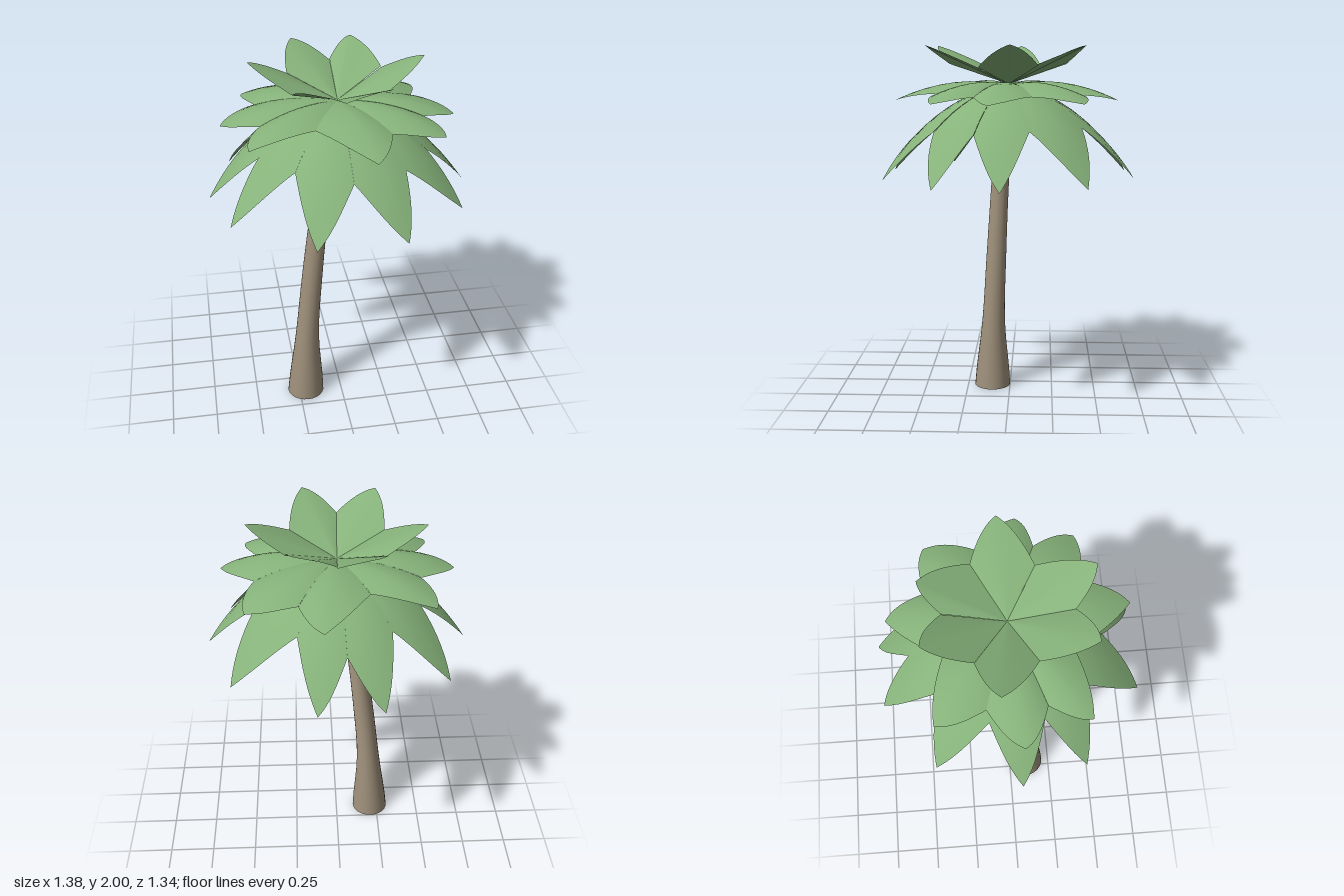
import * as THREE from 'three';

const leafGreen = new THREE.MeshStandardMaterial({ color: 0x86b27a, side: THREE.DoubleSide });
leafGreen.name = 'leafGreen';
const barkBrown = new THREE.MeshStandardMaterial({ color: 0xa4957f, side: THREE.DoubleSide });
barkBrown.name = 'barkBrown';

// One pointed leaf, fanned out from the crown centre between two notches
function leafGeometry(before, tip, after, { reach, height, fold, bulge }) {
  const rows = 8, cols = 16, positions = [], index = [];
  const tipRadius = Math.hypot(tip[0], tip[1]);
  for (let i = 0; i <= rows; i++) {
    for (let j = 0; j <= cols; j++) {
      const u = i / rows, s = (j / cols) * 2 - 1, side = Math.abs(s);
      const notch = s < 0 ? before : after;
      const k = u * (1 + bulge * Math.sin(Math.PI * side));
      const x = k * THREE.MathUtils.lerp(tip[0], notch[0], side);
      const z = k * THREE.MathUtils.lerp(tip[1], notch[1], side);
      const r = Math.hypot(x, z) * reach / tipRadius;
      positions.push(x, height(r) - fold * u * side * side, z);
      if (i < rows && j < cols) {
        const a = i * (cols + 1) + j, b = a + cols + 1;
        index.push(a, a + 1, b, a + 1, b + 1, b);
      }
    }
  }
  const g = new THREE.BufferGeometry();
  g.setAttribute('position', new THREE.Float32BufferAttribute(positions, 3));
  g.setIndex(index);
  g.computeVertexNormals();
  return g;
}

// A ring of leaves; outline alternates tip, notch as [x, z]
function leafRing(name, outline, shape) {
  const ring = new THREE.Group();
  ring.name = name;
  const n = outline.length;
  for (let i = 0; i < n; i += 2) {
    const g = leafGeometry(outline[(i + n - 1) % n], outline[i], outline[i + 1], shape);
    const leaf = new THREE.Mesh(g, leafGreen);
    leaf.name = name + 'Leaf' + (i / 2 + 1);
    ring.add(leaf);
  }
  return ring;
}

// Leaning trunk with a flared, open foot
function makeTrunk() {
  const centre = new THREE.CatmullRomCurve3([
    [-0.21, 0, 0.105], [-0.193, 0.4, 0.097], [-0.155, 0.8, 0.078], [-0.105, 1.2, 0.055],
    [-0.045, 1.55, 0.03], [0, 1.78, 0.01],
  ].map(p => new THREE.Vector3(...p)));
  const radius = new THREE.SplineCurve(
    [0.105, 0.067, 0.057, 0.05, 0.047, 0.045].map((r, i) => new THREE.Vector2(i, r)));
  const g = new THREE.CylinderGeometry(1, 1, 1, 24, 20, true);
  const pos = g.attributes.position;
  for (let i = 0; i < pos.count; i++) {
    const t = THREE.MathUtils.clamp(pos.getY(i) + 0.5, 0, 1);
    const c = centre.getPoint(t), r = radius.getPoint(t).y;
    pos.setXYZ(i, c.x + pos.getX(i) * r, c.y, c.z + pos.getZ(i) * r);
  }
  const trunk = new THREE.Mesh(g, barkBrown);
  trunk.name = 'trunk';
  return trunk;
}

export function createModel() {
  const palm = new THREE.Group();
  palm.name = 'palmTree';
  palm.add(makeTrunk());

  // Drooping lower dome
  palm.add(leafRing('lowerCrown', [
    [0.69, 0.02], [0.44, 0.16], [0.595, 0.36], [0.28, 0.38], [0.24, 0.66],
    [0, 0.48], [-0.21, 0.665], [-0.27, 0.36], [-0.6, 0.36], [-0.43, 0.15],
    [-0.69, 0.03], [-0.43, -0.12], [-0.56, -0.4], [-0.26, -0.36], [-0.21, -0.655],
    [-0.03, -0.5], [0.12, -0.675], [0.21, -0.39], [0.55, -0.41], [0.43, -0.12],
  ], { reach: 0.68, height: r => 1.78 - 1.04 * r * r, fold: 0.005, bulge: 0.05 }));

  // Flat arching middle ring
  palm.add(leafRing('middleCrown', [
    [0.6, 0.08], [0.42, 0.16], [0.48, 0.37], [0.21, 0.37], [0.09, 0.61], [-0.16, 0.31],
    [-0.49, 0.37], [-0.42, 0.16], [-0.61, 0.04], [-0.42, -0.13], [-0.47, -0.38],
    [-0.15, -0.32], [0.08, -0.59], [0.2, -0.39], [0.46, -0.39], [0.42, -0.13],
  ], { reach: 0.61, height: r => 1.79 + 0.217 * r - 0.57 * r * r, fold: 0.03, bulge: 0.06 }));

  // Upright top cup
  palm.add(leafRing('topCrown', [
    [0.455, -0.02], [0.24, 0.15], [0.17, 0.43], [-0.01, 0.32], [-0.22, 0.405], [-0.25, 0.13],
    [-0.45, -0.06], [-0.24, -0.17], [-0.185, -0.41], [0.01, -0.31], [0.14, -0.41], [0.26, -0.16],
  ], { reach: 0.45, height: r => 1.795 + 0.455 * r, fold: 0.035, bulge: 0.07 }));

  return palm;
}
